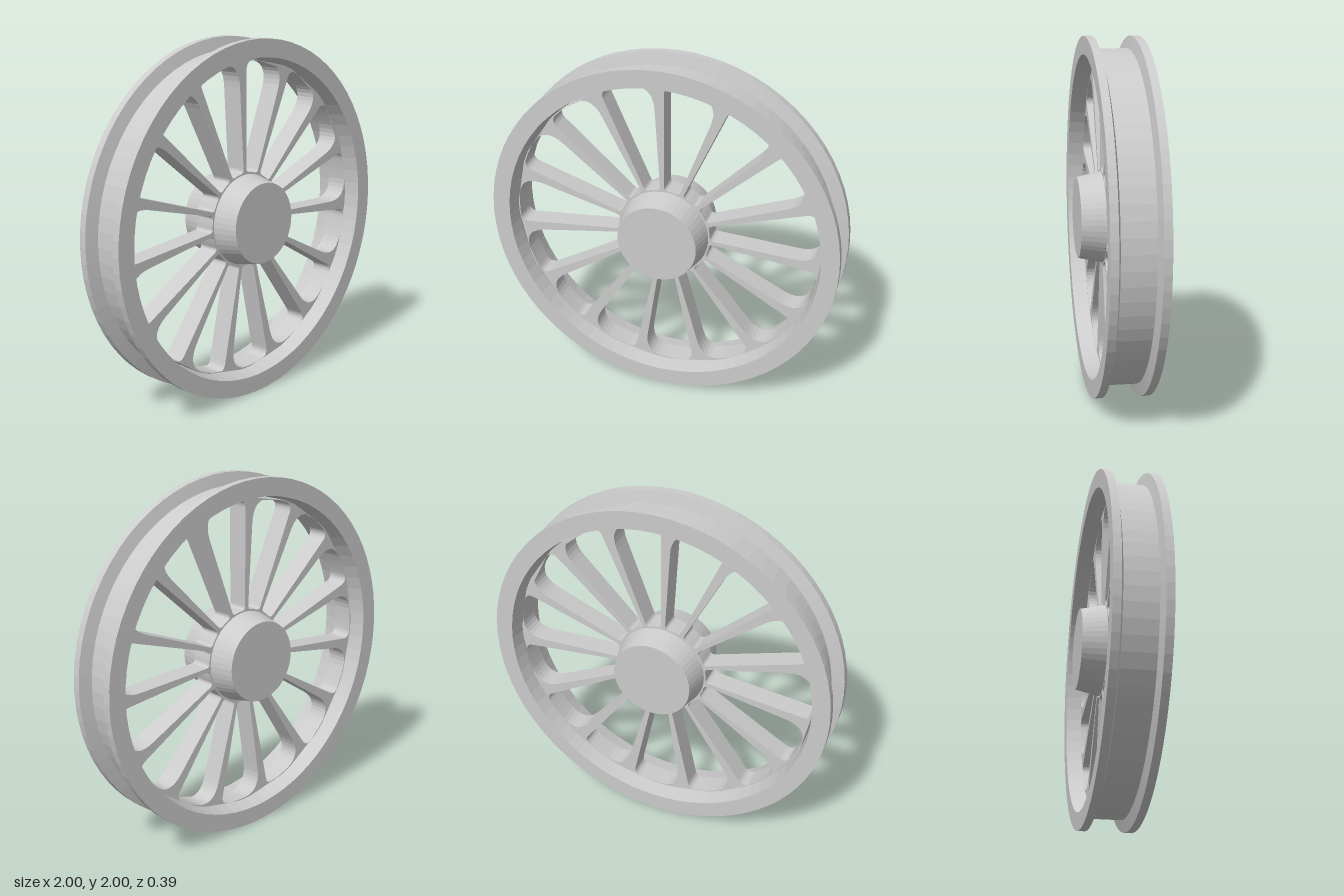
import * as THREE from 'three';

const SPOKES = 15;
const STEP = (Math.PI * 2) / SPOKES;
const HALF_WEB = 0.06;
const R_IN = 0.265, R_OUT = 0.878;

const material = new THREE.MeshStandardMaterial({ color: 0xcccccc, flatShading: true });

// Solid of revolution about the axle (z)
function turned(name, profile, segments) {
  const points = profile.map(([r, z]) => new THREE.Vector2(r, z));
  const geometry = new THREE.LatheGeometry(points, segments);
  geometry.rotateX(Math.PI / 2);
  const mesh = new THREE.Mesh(geometry, material);
  mesh.name = name;
  return mesh;
}

// Opening between two spokes: tight fillet on one side, sweeping flare on the other
function opening(start) {
  const at = (a, r) => [r * Math.sin(start + a), r * Math.cos(start + a)];
  const edge = (r) => STEP - (0.021 + (r - 0.25) * 0.0615) / r; // tapered side of next spoke
  const hole = new THREE.Path();
  const arc = (r, a0, a1) => {
    for (let i = 1; i <= 6; i++) hole.lineTo(...at(a0 + ((a1 - a0) * i) / 6, r));
  };
  hole.moveTo(...at(0, R_IN + 0.025));
  hole.lineTo(...at(0, R_OUT - 0.05));
  hole.quadraticCurveTo(...at(0, R_OUT), ...at(0.055, R_OUT));
  const flare = edge(R_OUT) - 0.14;
  arc(R_OUT, 0.055, flare);
  hole.quadraticCurveTo(...at(edge(R_OUT), R_OUT), ...at(edge(0.74), 0.74));
  hole.lineTo(...at(edge(R_IN + 0.025), R_IN + 0.025));
  hole.quadraticCurveTo(...at(edge(R_IN), R_IN), ...at(edge(R_IN) - 0.08, R_IN));
  arc(R_IN, edge(R_IN) - 0.08, 0.08);
  hole.quadraticCurveTo(...at(0, R_IN), ...at(0, R_IN + 0.025));
  return hole;
}

export function createModel() {
  const wheel = new THREE.Group();
  wheel.name = 'wheel';

  // Grooved rim with a flange on each side
  wheel.add(turned('rim', [
    [0.885, -HALF_WEB], [0.9, -0.15], [1, -0.15], [1, -0.107], [0.932, -0.09],
    [0.932, 0.09], [1, 0.107], [1, 0.15], [0.9, 0.15], [0.885, HALF_WEB], [0.885, -HALF_WEB],
  ], 72));

  // Tapered hub, the same on both faces
  wheel.add(turned('hub', [
    [0, -0.195], [0.226, -0.195], [0.258, -0.05], [0.258, 0.05], [0.226, 0.195], [0, 0.195],
  ], 48));

  // Spokes, cut from one flat web
  const web = new THREE.Shape();
  web.absarc(0, 0, 0.892, 0, Math.PI * 2, false);
  for (let i = 0; i < SPOKES; i++) web.holes.push(opening(i * STEP));
  const geometry = new THREE.ExtrudeGeometry(web, {
    depth: HALF_WEB * 2, bevelEnabled: false, curveSegments: 8,
  });
  geometry.translate(0, 0, -HALF_WEB);
  const spokes = new THREE.Mesh(geometry, material);
  spokes.name = 'spokes';
  wheel.add(spokes);

  wheel.position.y = 1;
  const model = new THREE.Group();
  model.name = 'spokedWheel';
  model.add(wheel);
  return model;
}
